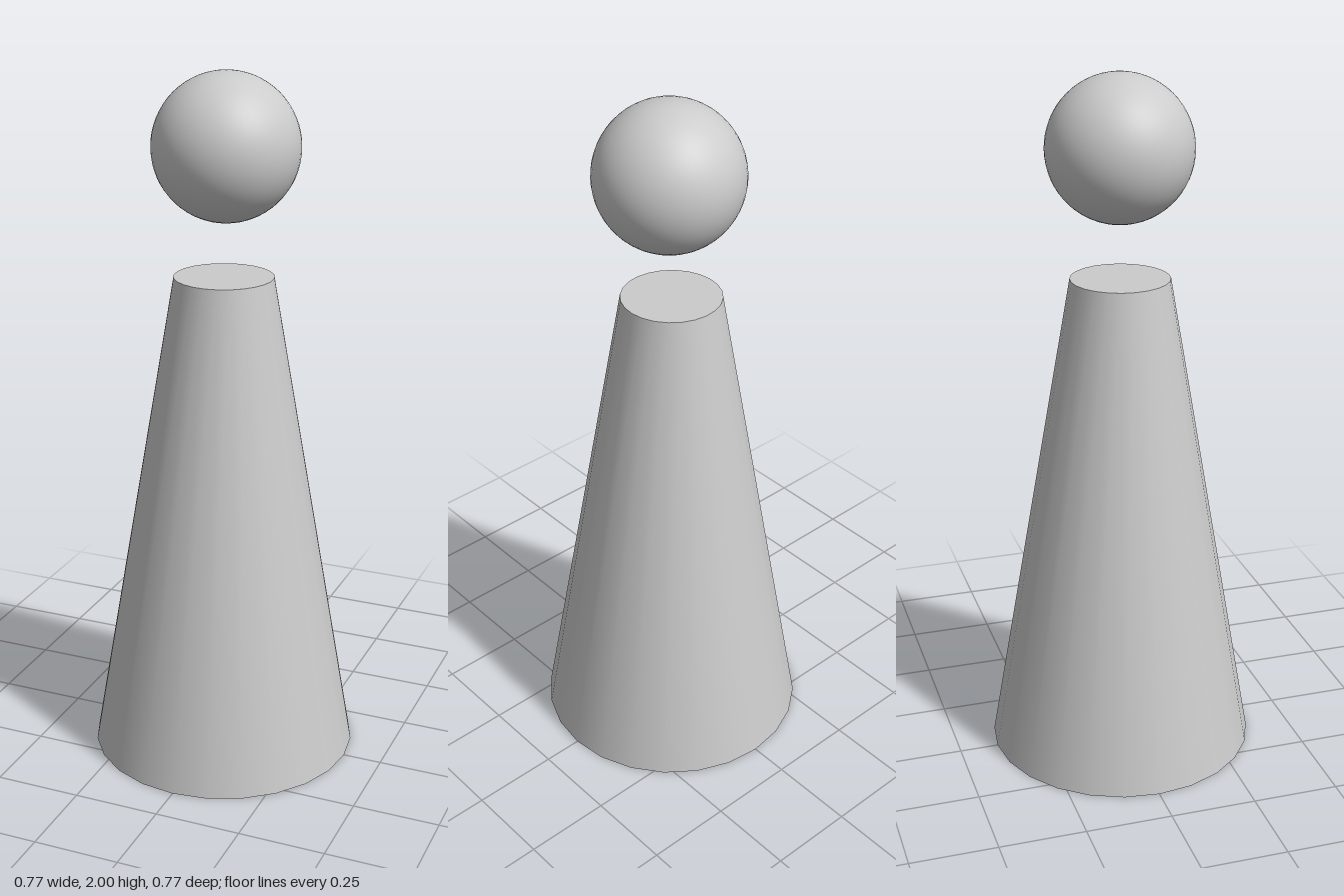
import * as THREE from 'three';

export function createModel() {
  const group = new THREE.Group();
  const material = new THREE.MeshStandardMaterial({ color: 0xcccccc });

  const add = (name, geometry, x, y, z) => {
    const mesh = new THREE.Mesh(geometry, material);
    mesh.name = name;
    mesh.position.set(x, y, z);
    group.add(mesh);
  };

  // Tapered body, closed at both ends
  const bodyHeight = 1.434;
  add('body', new THREE.CylinderGeometry(0.141, 0.387, bodyHeight, 24), 0, bodyHeight / 2, 0);

  // Ball floating above the body, very slightly off its axis
  const headRadius = 0.205;
  add('head', new THREE.SphereGeometry(headRadius, 48, 32), 0.007, 2 - headRadius, 0.001);

  return group;
}
